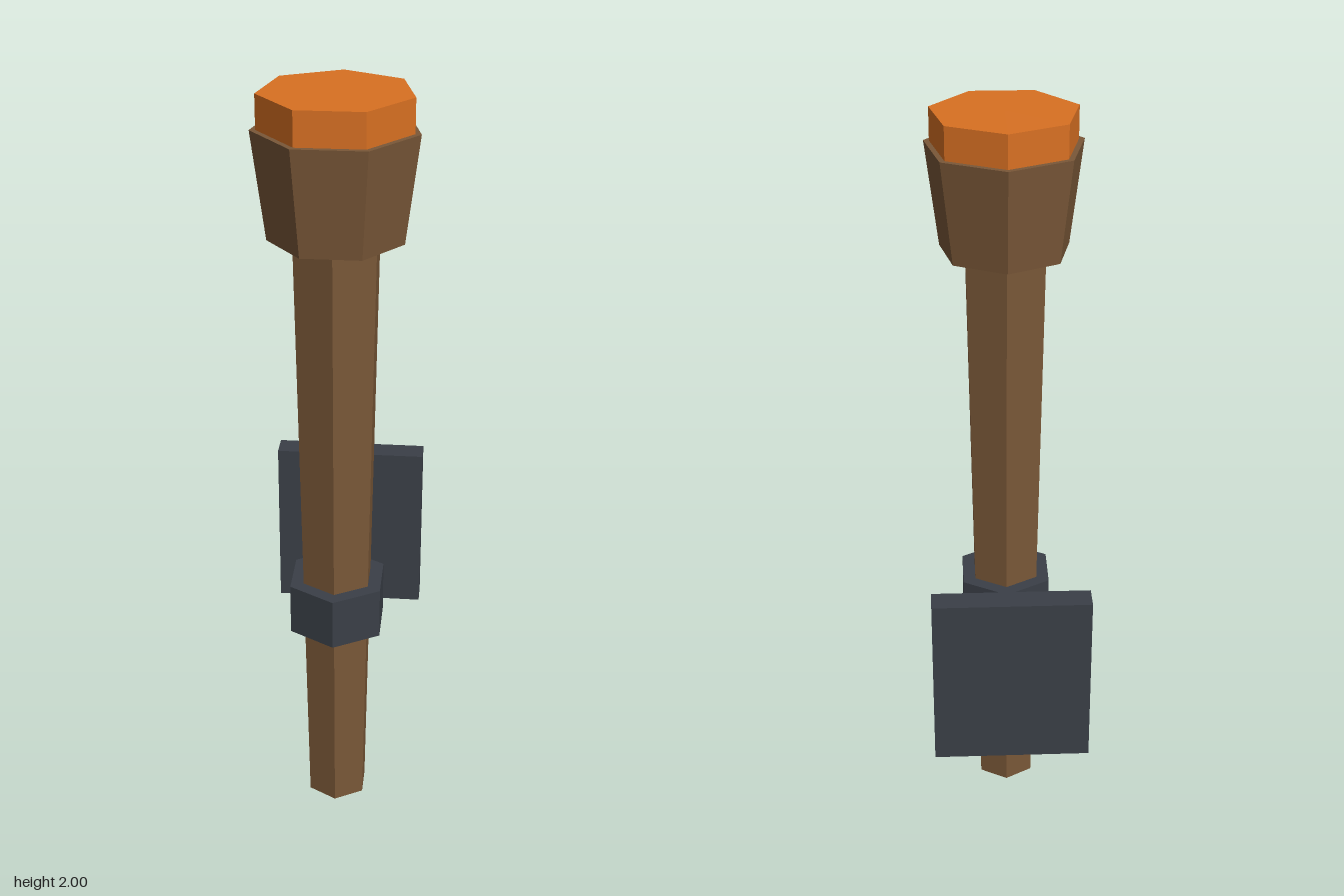
import * as THREE from 'three';

export function createModel() {
  const model = new THREE.Group();
  const material = (name, color) => {
    const m = new THREE.MeshStandardMaterial({ color, flatShading: true });
    m.name = name;
    return m;
  };
  const wood = material('wood', 0x7a5838);
  const ember = material('ember orange', 0xd87022);
  const iron = material('dark iron', 0x3a3f47);
  const axisZ = 0.13; // centre line of the torch

  // Upright prism between two heights, with a corner pointing backwards
  function prism(name, mat, sides, rBottom, rTop, y0, y1) {
    const geo = new THREE.CylinderGeometry(rTop, rBottom, y1 - y0, sides);
    geo.rotateY(Math.PI);
    const mesh = new THREE.Mesh(geo, mat);
    mesh.name = name;
    mesh.position.set(0, (y0 + y1) / 2, axisZ);
    model.add(mesh);
  }

  // Box centred on x, given its height and depth ranges
  function box(name, width, y0, y1, z0, z1) {
    const mesh = new THREE.Mesh(new THREE.BoxGeometry(width, y1 - y0, z1 - z0), iron);
    mesh.name = name;
    mesh.position.set(0, (y0 + y1) / 2, (z0 + z1) / 2);
    model.add(mesh);
  }

  // Torch: tapered handle, flared head and glowing top
  prism('handle', wood, 6, 0.085, 0.117, 0, 1.66);
  prism('head', wood, 7, 0.17, 0.205, 1.645, 1.915);
  prism('emberTop', ember, 7, 0.19, 0.19, 1.9, 2);

  // Wall bracket: collar, arm and back plate
  prism('collar', iron, 6, 0.137, 0.137, 0.55, 0.69);
  box('bracketArm', 0.102, 0.57, 0.668, -0.25, 0.04);
  box('wallPlate', 0.41, 0.38, 0.858, -0.315, -0.248);

  return model;
}
